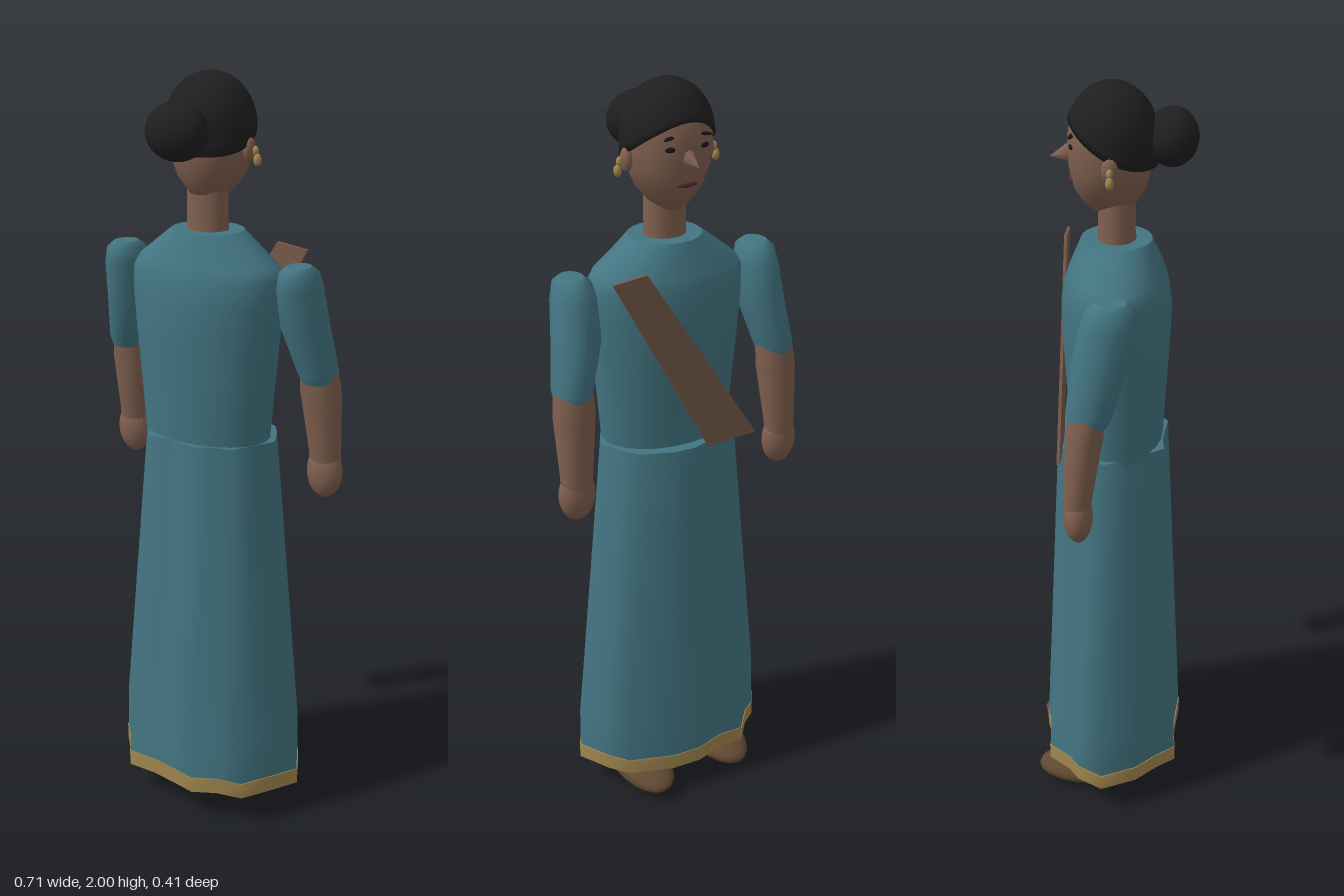
import * as THREE from 'three';

const mat = (name, color) => Object.assign(new THREE.MeshStandardMaterial({ color, side: THREE.DoubleSide }), { name });

// Smooth skin over stacked rings of [x, y, z], ordered bottom to top, with flat end caps
function loft(rings) {
  const n = rings[0].length, pos = rings.flat(2), idx = [];
  for (let i = 0; i < rings.length - 1; i++) {
    for (let j = 0; j < n; j++) {
      const k = (j + 1) % n, a = i * n + j, b = i * n + k;
      idx.push(a, b, b + n, a, b + n, a + n);
    }
  }
  for (const [ring, top] of [[rings[0], false], [rings[rings.length - 1], true]]) {
    const start = pos.length / 3;
    const centre = [0, 1, 2].map((c) => ring.reduce((sum, p) => sum + p[c], 0) / n);
    pos.push(...ring.flat(), ...centre);
    for (let j = 0; j < n; j++) {
      const a = start + j, b = start + (j + 1) % n;
      idx.push(start + n, top ? a : b, top ? b : a);
    }
  }
  const g = new THREE.BufferGeometry();
  g.setAttribute('position', new THREE.Float32BufferAttribute(pos, 3));
  g.setIndex(idx);
  g.computeVertexNormals();
  return g;
}

// Elliptical ring
function oval(y, rx, rz, cx = 0, cz = 0, n = 24) {
  return Array.from({ length: n }, (_, j) => {
    const a = (j / n) * Math.PI * 2;
    return [cx + rx * Math.sin(a), y, cz + rz * Math.cos(a)];
  });
}

export function createModel() {
  const model = new THREE.Group();
  model.name = 'standingWoman';
  const cloth = mat('tealCloth', 0x437582);
  const skin = mat('skin', 0x80604f);
  const hair = mat('blackHair', 0x1f1f1f);
  const gold = mat('goldTrim', 0xa1874f);
  const sashBrown = mat('sashBrown', 0x775a4a);
  const leather = mat('shoeBrown', 0x604831);
  const dark = mat('eyeDark', 0x1a1413);
  const lip = mat('lipRed', 0x5a302b);

  const add = (name, geometry, material, parent = model) => {
    const m = new THREE.Mesh(geometry, material);
    m.name = name;
    parent.add(m);
    return m;
  };
  const blob = (name, material, p, r, parent = model) => {
    const m = add(name, new THREE.SphereGeometry(1, 20, 14), material, parent);
    m.position.set(...p);
    m.scale.set(...r);
    return m;
  };

  // Skirt with an uneven pleated outline
  const outline = [
    [0, 0.19], [0.07, 0.2], [0.13, 0.167], [0.2, 0.15], [0.245, 0.075], [0.287, 0], [0.24, -0.085],
    [0.2, -0.135], [0.08, -0.178], [0, -0.185], [-0.08, -0.165], [-0.15, -0.17], [-0.2, -0.112],
    [-0.24, -0.085], [-0.28, -0.02], [-0.24, 0.075], [-0.185, 0.135], [-0.15, 0.185], [-0.07, 0.182],
  ];
  const pleats = (y, sx, sz) => outline.map(([x, z]) => [x * sx, y, z * sz]);
  add('skirt', loft([pleats(0.125, 1, 1), pleats(0.25, 0.995, 0.97), pleats(1.085, 0.69, 0.75)]), cloth);
  add('hem', loft([pleats(0.085, 1.01, 1.01), pleats(0.13, 1.01, 1.01)]), gold);

  // Bodice
  add('bodice', loft([
    [1.07, 0.178, 0.122], [1.2, 0.188, 0.128], [1.35, 0.202, 0.136], [1.45, 0.21, 0.139],
    [1.51, 0.212, 0.13], [1.54, 0.195, 0.12], [1.618, 0.095, 0.088],
  ].map(([y, rx, rz]) => oval(y, rx, rz, 0, 0.014))), cloth);

  // Shoulder sash
  const band = new THREE.Shape([
    [0.215, 1.565], [0.125, 1.575], [-0.19, 1.08], [-0.05, 1.07],
  ].map(([x, y]) => new THREE.Vector2(x, y)));
  const sash = add('sash', new THREE.ExtrudeGeometry(band, { depth: 0.008, bevelEnabled: false }), sashBrown);
  sash.position.z = -0.127;
  sash.rotation.y = -0.03;

  // Neck and head
  add('neck', loft([oval(1.6, 0.057, 0.05, 0, 0.014), oval(1.64, 0.054, 0.046, 0, 0.014),
    oval(1.74, 0.054, 0.046, 0, 0.014)]), skin);
  const head = new THREE.Group();
  head.name = 'head';
  model.add(head);
  add('face', loft([
    [1.69, 0.025, 0.04], [1.71, 0.05, 0.065], [1.75, 0.083, 0.089], [1.8, 0.104, 0.1],
    [1.87, 0.108, 0.102], [1.93, 0.096, 0.09], [1.98, 0.045, 0.045],
  ].map(([y, rx, rz]) => oval(y, rx, rz, 0, -0.002))), skin);
  const nose = add('nose', new THREE.ConeGeometry(0.02, 0.06, 8), skin, head);
  nose.rotation.x = -Math.PI / 2 - 0.2;
  nose.scale.z = 1.5;
  nose.position.set(0, 1.826, -0.117);
  blob('mouth', lip, [0, 1.768, -0.093], [0.028, 0.008, 0.008], head);

  // Hair cap, lower at the nape and raised over the forehead
  const capRings = [];
  for (let i = 0; i <= 12; i++) {
    const t = Math.max(0, i - 1) / 11.3;
    capRings.push(oval(0, 1, 1, 0, 0, 32).map(([sx, , cz]) => {
      const low = 1.808 + 0.108 * ((1 - cz) / 2) ** 2;
      const y = low + (2 - low) * Math.sin(t * Math.PI / 2);
      const r = Math.sqrt(Math.max(0, 1 - (Math.max(0, y - 1.87) / 0.13) ** 2)) * (i ? 0.116 : 0.095);
      return [sx * r, y, cz * r * 0.96 + 0.002];
    }));
  }
  add('hairCap', loft(capRings), hair, head);
  blob('hairBun', hair, [0, 1.87, 0.145], [0.082, 0.07, 0.064], head);

  for (const s of [-1, 1]) {
    // Face details
    blob('eye', dark, [s * 0.042, 1.856, -0.092], [0.017, 0.007, 0.006], head);
    const brow = blob('eyebrow', dark, [s * 0.044, 1.883, -0.09], [0.023, 0.004, 0.007], head);
    brow.rotation.set(0, s * 0.35, -s * 0.1);
    blob('ear', skin, [s * 0.112, 1.82, 0], [0.014, 0.03, 0.02], head);
    blob('earringStud', gold, [s * 0.13, 1.818, 0], [0.008, 0.012, 0.008], head);
    blob('earringDrop', gold, [s * 0.135, 1.797, 0], [0.01, 0.015, 0.01], head);

    // Arm with a puffed sleeve
    const arm = new THREE.Group();
    arm.name = 'arm';
    model.add(arm);
    const limb = (rows) => loft(rows.map(([y, x, z, rx, rz]) => oval(y, rx, rz, s * x, z, 16)));
    add('sleeve', limb([
      [1.255, 0.297, -0.046, 0.044, 0.048], [1.285, 0.294, -0.043, 0.052, 0.058],
      [1.4, 0.268, -0.02, 0.061, 0.068], [1.5, 0.262, 0, 0.056, 0.067],
      [1.54, 0.262, 0.006, 0.047, 0.058], [1.555, 0.262, 0.008, 0.03, 0.036],
    ]), cloth, arm);
    add('forearm', limb([[1.03, 0.306, -0.074, 0.042, 0.034], [1.06, 0.305, -0.073, 0.043, 0.036],
      [1.22, 0.298, -0.056, 0.055, 0.046], [1.29, 0.294, -0.048, 0.05, 0.045]]), skin, arm);
    blob('hand', skin, [s * 0.306, 1.005, -0.073], [0.049, 0.072, 0.037], arm);

    // Shoe
    blob('shoe', leather, [s * 0.125, 0.042, -0.055], [0.078, 0.042, 0.15]);
  }
  return model;
}
